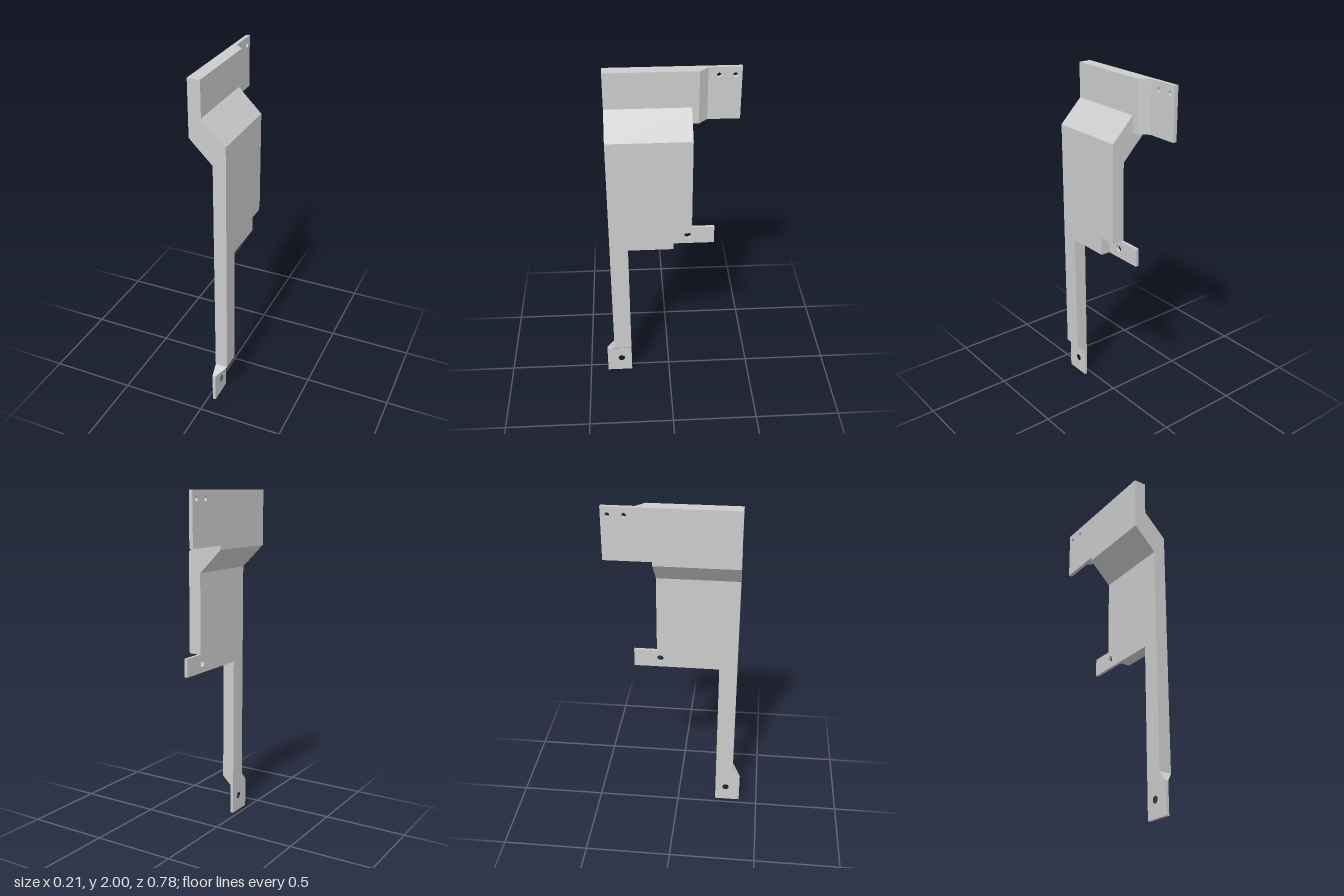
import * as THREE from 'three';

const FRONT = 0.343, BACK = -0.125;      // z range of the main body
const IN = 0.029, OUT = 0.103;           // x range of the lower body
const THIN = 0.047;                      // outer x of the thin tabs

const material = new THREE.MeshStandardMaterial({ color: 0xcccccc, flatShading: true });

function mesh(name, geometry) {
  const m = new THREE.Mesh(geometry, material);
  m.name = name;
  return m;
}

function extrude(points, depth, holes = []) {
  const shape = new THREE.Shape(points.map(([x, y]) => new THREE.Vector2(x, y)));
  for (const [x, y, r] of holes) {
    shape.holes.push(new THREE.Path().absarc(x, y, r, 0, Math.PI * 2, true));
  }
  return new THREE.ExtrudeGeometry(shape, { depth, bevelEnabled: false, curveSegments: 16 });
}

// Upright plate outlined in (z, y), thickness running from x0 to x1
function plate(name, points, x0, x1, holes = []) {
  const g = extrude(points.map(([z, y]) => [-z, y]), x1 - x0, holes.map(([z, y, r]) => [-z, y, r]));
  return mesh(name, g.rotateY(Math.PI / 2).translate(x0, 0, 0));
}

const rect = (a0, b0, a1, b1) => [[a0, b0], [a1, b0], [a1, b1], [a0, b1]];

// Solid between two horizontal rectangles, each [x0, x1, z0, z1, y]
function loft(name, bottom, top) {
  const g = new THREE.BoxGeometry(1, 1, 1);
  const p = g.attributes.position;
  for (let i = 0; i < p.count; i++) {
    const r = p.getY(i) > 0 ? top : bottom;
    p.setXYZ(i, r[p.getX(i) > 0 ? 1 : 0], r[4], r[p.getZ(i) > 0 ? 3 : 2]);
  }
  g.computeVertexNormals();
  return mesh(name, g);
}

export function createModel() {
  const group = new THREE.Group();
  group.name = 'bracket';

  // Joggled body: constant cross-section along z
  const body = extrude([
    [IN, 1.087], [OUT, 1.087], [OUT, 1.665], [-0.031, 1.798],
    [-0.031, 2], [-0.103, 2], [-0.103, 1.68], [IN, 1.548],
  ], FRONT - BACK).translate(0, 0, BACK);
  group.add(mesh('joggledBody', body));

  // Lower body and long leg
  group.add(plate('leg', [
    [FRONT, 0.235], [0.238, 0.235], [0.238, 0.98], [-0.021, 0.98], [-0.021, 1.087], [FRONT, 1.087],
  ], IN, OUT));

  // Tapered ankle and drilled foot
  group.add(loft('ankle', [IN, THIN, 0.238, 0.39, 0.18], [IN, OUT, 0.238, FRONT, 0.235]));
  group.add(plate('foot', rect(0.238, 0, 0.39, 0.18), IN, THIN, [[0.302, 0.098, 0.02]]));

  // Thin side tab, set in the notch of the lower body
  group.add(plate('sideTab', rect(-0.021, 0.98, -0.258, 1.087), IN, THIN, [[-0.106, 1.034, 0.02]]));

  // Upper ear: thick root tapering to a thin drilled plate
  const root = extrude([
    [-0.103, -BACK], [-0.031, -BACK], [-0.031, 0.163], [-0.081, 0.211], [-0.103, 0.211],
  ], 0.297).rotateX(-Math.PI / 2).translate(0, 1.703, 0);
  group.add(mesh('earRoot', root));
  group.add(plate('ear', rect(-0.211, 1.703, -0.39, 2), -0.103, -0.081,
    [[-0.268, 1.955, 0.013], [-0.354, 1.955, 0.013]]));

  return group;
}
